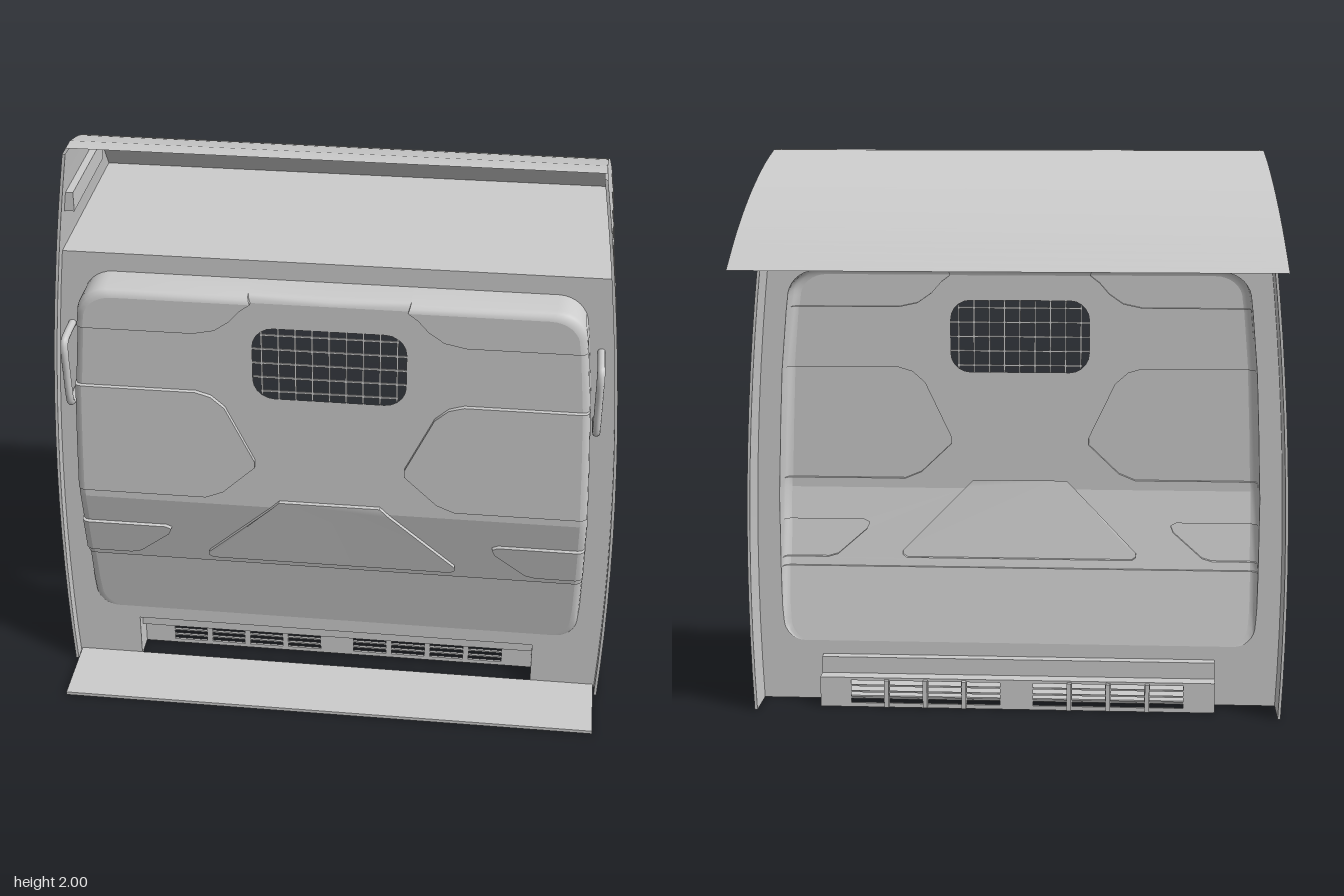
import * as THREE from 'three';
import { toCreasedNormals } from 'three/addons/utils/BufferGeometryUtils.js';

const PLATE = 0.22; // z of the flat wall sheet
const mat = new THREE.MeshStandardMaterial({ color: 0xcccccc, side: THREE.DoubleSide });

// Half width of the whole partition at height y
const edge = (y) => 0.957 - 0.112 * ((y - 0.5) / 1.5) ** 2;
const flip = (pts) => pts.map(([x, ...rest]) => [-x, ...rest]);
const mirrored = (half) => [...half, ...flip(half).reverse()];
const arc = (cx, cy, rx, ry, a0, a1, n = 8) => Array.from({ length: n + 1 }, (_, i) => {
  const a = a0 + (a1 - a0) * i / n;
  return [cx + rx * Math.cos(a), cy + ry * Math.sin(a)];
});
const toShape = (pts) => new THREE.Shape(pts.map(([x, y]) => new THREE.Vector2(x, y)));

// Surface through rows of 3D points
function sheet(rows, crease = 0.5) {
  const n = rows[0].length, index = [];
  for (let i = 0; i < rows.length - 1; i++) for (let j = 0; j < n - 1; j++) {
    const a = i * n + j, b = a + n;
    index.push(a, b, a + 1, b, b + 1, a + 1);
  }
  const g = new THREE.BufferGeometry();
  g.setAttribute('position', new THREE.Float32BufferAttribute(rows.flat(2), 3));
  g.setIndex(index);
  return toCreasedNormals(g, crease);
}

// Filled outline laid on the height rule z = rule(y)
function face(pts, rule, holes = []) {
  const s = toShape(pts);
  s.holes = holes.map(toShape);
  const g = new THREE.ShapeGeometry(s), p = g.attributes.position;
  for (let i = 0; i < p.count; i++) p.setZ(i, rule(p.getY(i)));
  g.computeVertexNormals();
  return g;
}

// Height rules of the pressed panel
const base = (y) => y > 0.77 ? 0.34 : PLATE + (y - 0.22) * 0.218;
const raised = (y) => base(y) + 0.016;
const low = (y) => PLATE + (y - 0.22) * 0.175;
const inset = ([x, y]) => [x * 0.97, y > 1.435 ? y - 0.025 * (y - 1.435) / 0.14 : y];

export function createModel() {
  const root = new THREE.Group();
  const add = (name, geo, parent = root) => {
    const m = new THREE.Mesh(geo, mat);
    m.name = name;
    parent.add(m);
    return m;
  };
  const group = (name) => {
    const g = new THREE.Group();
    g.name = name;
    root.add(g);
    return g;
  };
  const box = (name, w, h, d, x, y, z, parent) =>
    add(name, new THREE.BoxGeometry(w, h, d), parent).position.set(x, y, z);

  // Right half of the panel outline, top centre to bottom centre, in runs
  const runs = [
    { pts: [[0, 1.575], [0.26, 1.575]], rule: base },
    { pts: [[0.26, 1.575], ...arc(0.72, 1.475, 0.1, 0.1, Math.PI / 2, 0), [0.825, 1.435]], rule: raised,
      inner: [[0.285, 1.525], [0.32, 1.485], [0.37, 1.45], [0.44, 1.435]] },
    { pts: [[0.825, 1.435], [0.845, 1.215]], rule: base },
    { pts: [[0.845, 1.215], [0.855, 1.0], [0.862, 0.805]], rule: raised,
      inner: [[0.44, 1.215], [0.39, 1.2], [0.345, 1.16], [0.25, 0.96], [0.25, 0.935], [0.36, 0.83], [0.42, 0.805]] },
    { pts: [[0.862, 0.805], [0.864, 0.77]], rule: base },
    { pts: [[0.864, 0.77], [0.864, 0.655]], rule: base },
    { pts: [[0.864, 0.655], [0.864, 0.52]], rule: raised,
      inner: [[0.57, 0.655], [0.55, 0.645], [0.56, 0.62], [0.665, 0.53], [0.7, 0.52]] },
    { pts: [[0.864, 0.52], [0.864, 0.49]], rule: base },
    { pts: [[0.864, 0.49], [0.862, 0.35], ...arc(0.78, 0.3, 0.078, 0.08, 0, -Math.PI / 2), [0, 0.22]], rule: low },
  ];
  const [A, B, C, D, E, F, G, H, L] = runs.map((r) => r.pts.map(inset));
  const outline = mirrored(runs.flatMap((r) => r.pts).filter((p, i, a) => !i || p + '' !== a[i - 1] + ''));

  // Pressed panel: rounded rim
  const panel = group('pressedPanel');
  const rim = runs.flatMap(({ pts, rule }) => pts.map((p) => {
    const q = inset(p), top = Math.max(rule(p[1]), PLATE), r = Math.min(0.03, top - PLATE);
    return [[0, PLATE], [0, top - r], [0.12, top - 0.5 * r], [0.45, top - 0.13 * r], [1, top]]
      .map(([t, z]) => [p[0] + (q[0] - p[0]) * t, p[1] + (q[1] - p[1]) * t, z]);
  }));
  add('panelRimLeft', sheet(rim, 0.8), panel);
  add('panelRimRight', sheet(rim.map(flip), 0.8), panel);

  // Main faces, leaving out the raised pads and the window
  const corner = (sx, sy, a) => arc(sx * 0.18, 1.33 + sy * 0.06, 0.07, 0.07, a, a + Math.PI / 2, 5);
  const windowHole = [corner(1, 1, 0), corner(-1, 1, Math.PI / 2), corner(-1, -1, Math.PI), corner(1, -1, 1.5 * Math.PI)].flat();
  const innerB = runs[1].inner, innerD = runs[3].inner, innerG = runs[6].inner;
  const trapeze = [[0.17, 0.8], [0.2, 0.77], [0.425, 0.545], [0.425, 0.53], [0.41, 0.52]];
  const upper = [...A, ...innerB, ...C, ...innerD, ...E, trapeze[1], trapeze[0]];
  const lower = [...trapeze.slice(1).reverse(), ...F, ...innerG, ...H];
  add('upperFace', face(mirrored(upper), base, [windowHole]), panel);
  add('slopedFace', face(mirrored(lower), base), panel);
  add('lowerFace', face(mirrored(L.slice(0, -1)), low), panel);
  add('seamStep', sheet([[-1, base], [-1, low], [1, low], [1, base]].reduce((rows, [s, f]) => {
    rows[f === base ? 0 : 1].push([s * L[0][0], 0.49, f(0.49)]);
    return rows;
  }, [[], []])), panel);

  // Raised pads with their stepped edges
  const wall = (pts) => sheet([base, raised].map((f) => pts.map(([x, y]) => [x, y, f(y)])));
  for (const [name, outer, inner] of [['topPad', B, innerB], ['sidePad', D, innerD], ['lowerPad', G, innerG]]) {
    const step = [outer[0], ...inner, outer[outer.length - 1]];
    const whole = [...outer, ...[...inner].reverse()];
    for (const [side, f] of [['Left', (p) => p], ['Right', flip]]) {
      add(name + side, face(f(whole), raised), panel);
      add(name + 'Edge' + side, wall(f(step)), panel);
    }
  }
  const centre = mirrored(trapeze);
  add('centrePad', face(centre, raised), panel);
  add('centrePadEdge', wall([...centre, centre[0]]), panel);

  // Window mesh
  const mesh = group('windowMesh');
  for (let i = -4; i <= 4; i++) box('meshUpright', 0.006, Math.abs(i) === 4 ? 0.23 : 0.26, 0.006, i * 0.055, 1.33, 0.335, mesh);
  for (let i = -2; i <= 2; i++) box('meshCrossbar', Math.abs(i) === 2 ? 0.45 : 0.5, 0.006, 0.006, 0, 1.33 + i * 0.052, 0.335, mesh);

  // Flat wall sheet around the panel, notched for the vent
  const rise = Array.from({ length: 13 }, (_, i) => [edge(1.64 * i / 12), 1.64 * i / 12]);
  add('wallSheet', face(mirrored([[0.71, 0.17], [0.71, 0], ...rise]), () => PLATE, [outline]));

  // Roof curve as [z, y]
  const roofCurve = new THREE.SplineCurve([[0.16, 2], [0, 1.952], [-0.18, 1.87], [-0.34, 1.765], [-0.475, 1.64]]
    .map(([z, y]) => new THREE.Vector2(z, y))).getPoints(24).map((p) => [p.x, Math.min(p.y, 2)]);

  // Side flanges, widening into the roof gussets
  const spans = [...rise.map(([, y]) => [0.07, y]), ...[...roofCurve].reverse()];
  const flange = spans.map(([z, y]) => {
    const x = edge(y), t = x - 0.01;
    return [[x, y, 0.265], [x, y, z], [t, y, z], [t, y, 0.265], [x, y, 0.265]];
  });
  add('sideFlangeLeft', sheet(flange));
  add('sideFlangeRight', sheet(flange.map(flip)));

  // Curved roof and the shelf under it
  add('roof', sheet([[PLATE, 2], ...roofCurve].map(([z, y]) => [[-edge(y), y, z], [edge(y), y, z]])));
  const sw = edge(1.64);
  add('shelf', sheet([[[-sw, 1.64, PLATE], [sw, 1.64, PLATE]], [[-sw, 1.64, -0.475], [sw, 1.64, -0.475]]]));
  box('shelfBracket', 0.035, 0.065, 0.42, -0.85, 1.815, 0.01);

  // Floor plate
  box('floorPlate', 1.86, 0.012, 0.255, 0, 0.006, 0.3475);

  // Vent housing set back into the wall, open below
  const vent = group('ventHousing');
  const profile = [[0.17, PLATE], [0.17, 0.18], [0.11, 0.18], [0.11, 0.13]];
  add('ventTop', sheet(profile.map(([y, z]) => [[-0.71, y, z], [0.71, y, z]])), vent);
  for (const s of [-1, 1]) {
    box('ventSideUpper', 0.006, 0.06, 0.04, s * 0.71, 0.14, 0.2, vent);
    box('ventSideLower', 0.006, 0.11, 0.09, s * 0.71, 0.055, 0.175, vent);
  }
  const slots = [];
  for (const s of [-1, 1]) for (let c = 0; c < 4; c++) {
    const x = s * (0.12 + c * 0.14);
    for (let r = 0; r < 4; r++) {
      const y = 0.015 + r * 0.0225;
      slots.push([[x - 0.06, y], [x + 0.06, y], [x + 0.06, y + 0.017], [x - 0.06, y + 0.017]]);
    }
    if (c < 3) box('ventRib', 0.016, 0.1, 0.025, s * (0.19 + c * 0.14), 0.055, 0.118, vent);
  }
  const grille = toShape([[-0.71, 0], [0.71, 0], [0.71, 0.11], [-0.71, 0.11]]);
  grille.holes = slots.map(toShape);
  add('ventGrille', new THREE.ExtrudeGeometry(grille, { depth: 0.008, bevelEnabled: false }), vent).position.z = 0.125;

  // Grab handles
  const path = new THREE.CatmullRomCurve3([[1.375, PLATE], [1.375, 0.3], [1.37, 0.335], [1.345, 0.346], [1.25, 0.34],
    [1.15, 0.328], [1.13, 0.318], [1.122, 0.29], [1.122, PLATE]].map(([y, z]) => new THREE.Vector3(0, y, z)), false, 'centripetal');
  for (const s of [-1, 1])
    add(s > 0 ? 'handleLeft' : 'handleRight', new THREE.TubeGeometry(path, 48, 0.013, 10)).position.x = s * 0.868;

  return root;
}
